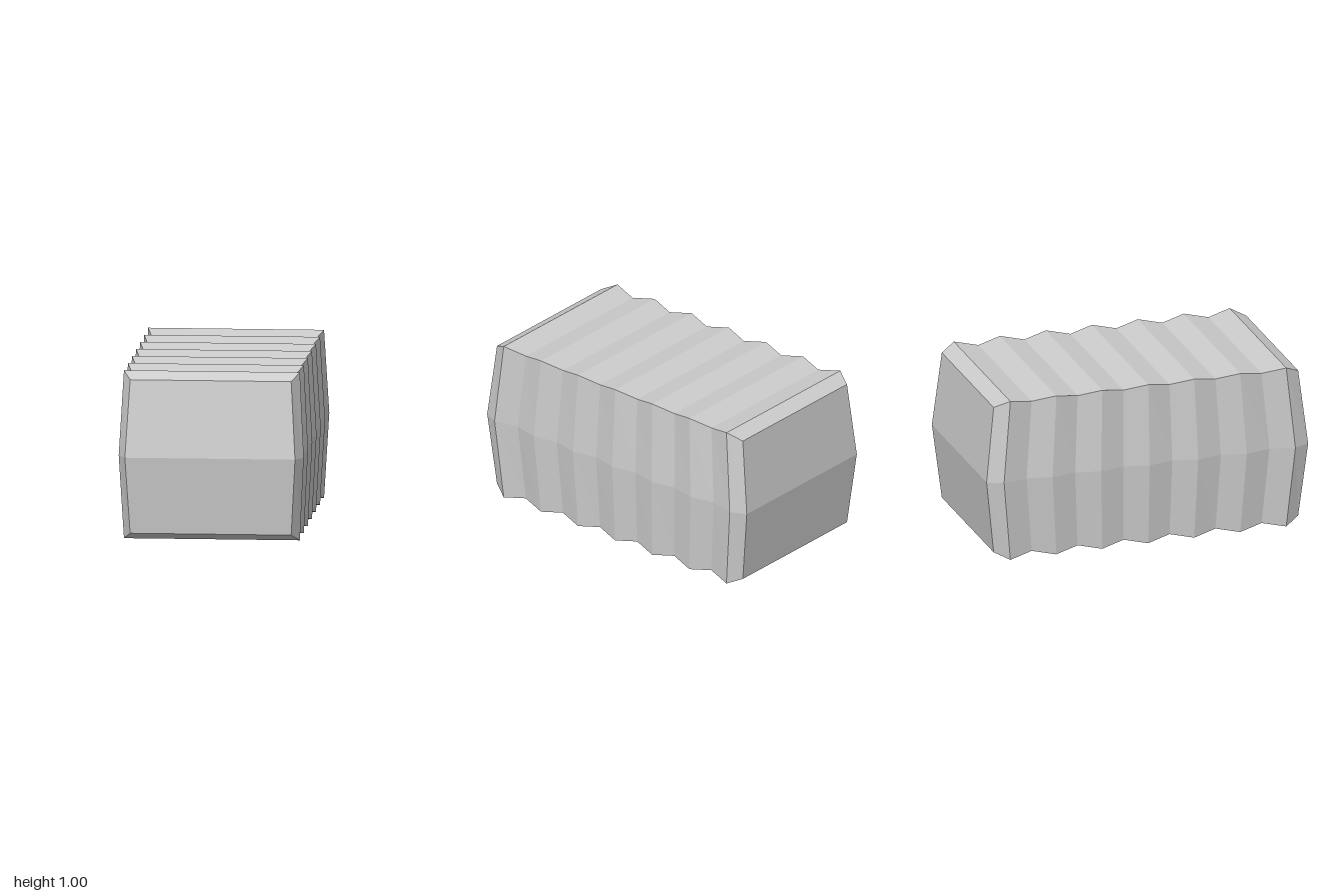
import * as THREE from 'three';

// Six-sided cross-section, counter-clockwise seen from +z; the waist bulges in x and z
function section(xWaist, xEdge, inset, zWaist, zEdge) {
  const top = 1 - inset, bottom = inset;
  return [
    [xWaist, 0.5, zWaist], [xEdge, top, zEdge], [-xEdge, top, zEdge],
    [-xWaist, 0.5, zWaist], [-xEdge, bottom, zEdge], [xEdge, bottom, zEdge],
  ];
}

function quadMesh(name, quads, material) {
  const positions = quads.flatMap(([a, b, c, d]) => [a, b, c, a, c, d].flat());
  const geometry = new THREE.BufferGeometry();
  geometry.setAttribute('position', new THREE.Float32BufferAttribute(positions, 3));
  geometry.computeVertexNormals();
  const mesh = new THREE.Mesh(geometry, material);
  mesh.name = name;
  return mesh;
}

// Band of quads joining two neighbouring sections
const band = (back, front) => back.map((p, j) => {
  const k = (j + 1) % back.length;
  return [p, back[k], front[k], front[j]];
});

export function createModel() {
  const group = new THREE.Group();
  group.name = 'corrugatedContainer';
  const material = new THREE.MeshStandardMaterial({ color: 0xcccccc, flatShading: true });

  // Seven ridges alternating with six valleys
  const ribs = [];
  for (let i = -6; i <= 6; i++) {
    const ridge = i % 2 === 0;
    ribs.push(section(ridge ? 0.547 : 0.515, ridge ? 0.52 : 0.488, ridge ? 0 : 0.028, i * 0.151, i * 0.143));
  }
  const walls = [];
  for (let i = 0; i < ribs.length - 1; i++) walls.push(...band(ribs[i], ribs[i + 1]));
  group.add(quadMesh('corrugatedWalls', walls, material));

  // Bevelled rims and the folded end panels
  const front = section(0.503, 0.476, 0.043, 1, 0.947);
  const back = section(0.503, 0.476, 0.043, -1, -0.947);
  group.add(quadMesh('frontRim', band(ribs[ribs.length - 1], front), material));
  group.add(quadMesh('backRim', band(back, ribs[0]), material));
  const panel = (s) => [[s[0], s[1], s[2], s[3]], [s[3], s[4], s[5], s[0]]];
  group.add(quadMesh('frontPanel', panel(front), material));
  group.add(quadMesh('backPanel', panel(back).map((q) => q.reverse()), material));

  return group;
}
